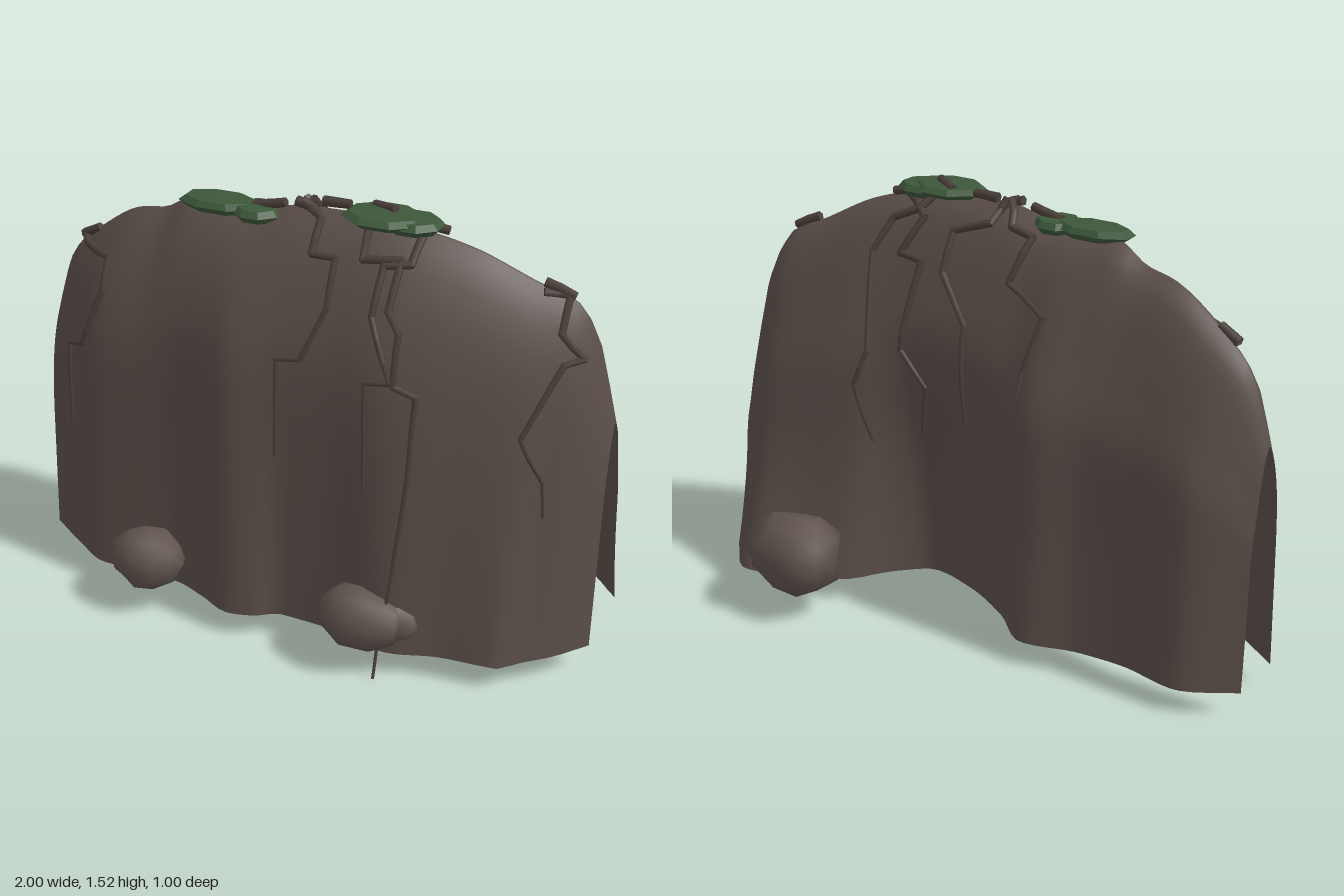
import * as THREE from 'three';
import { mergeVertices, mergeGeometries } from 'three/addons/utils/BufferGeometryUtils.js';

const BASE = 0.085;

// Smooth lookup over [x, value] pairs that never overshoots them
function curveAt(table, x) {
  const last = table.length - 1;
  if (x <= table[0][0]) return table[0][1];
  if (x >= table[last][0]) return table[last][1];
  const slope = i => (table[i + 1][1] - table[i][1]) / (table[i + 1][0] - table[i][0]);
  const tangent = i => {
    if (i === 0) return slope(0);
    if (i === last) return slope(last - 1);
    const a = slope(i - 1), b = slope(i);
    return a * b <= 0 ? 0 : 2 * a * b / (a + b);
  };
  let i = 0;
  while (x > table[i + 1][0]) i++;
  const [x0, a] = table[i], [x1, b] = table[i + 1], d = x1 - x0, t = (x - x0) / d;
  const t2 = t * t, t3 = t2 * t;
  return a * (2 * t3 - 3 * t2 + 1) + tangent(i) * d * (t3 - 2 * t2 + t)
    + b * (3 * t2 - 2 * t3) + tangent(i + 1) * d * (t3 - t2);
}

// Ridge line along x
const ridgeY = [[-1, 0.91], [-0.92, 1.13], [-0.8, 1.24], [-0.62, 1.35], [-0.52, 1.37], [-0.4, 1.43], [-0.2, 1.43],
  [0, 1.47], [0.2, 1.475], [0.4, 1.45], [0.55, 1.41], [0.75, 1.31], [0.86, 1.26], [0.92, 1.17], [1, 0.86]];
const ridgeZ = [[-1, 0], [-0.6, 0.06], [-0.2, 0.11], [0.3, 0.12], [0.55, 0.09], [0.8, 0.03], [1, -0.01]];
// Each face: z at mid height (belly) and at the foot, and how fast it swings out with the drop
const front = {
  belly: [[-1, 0.09], [-0.85, 0.195], [-0.7, 0.275], [-0.42, 0.295], [-0.29, 0.33], [-0.165, 0.37], [0, 0.345],
    [0.165, 0.34], [0.33, 0.35], [0.46, 0.325], [0.6, 0.28], [0.77, 0.225], [0.85, 0.175], [0.91, 0.14], [1, 0.055]],
  foot: [[-1, 0.12], [-0.85, 0.22], [-0.7, 0.3], [-0.42, 0.305], [-0.29, 0.35], [-0.165, 0.405], [-0.075, 0.385],
    [0, 0.34], [0.165, 0.347], [0.4, 0.4], [0.58, 0.353], [0.765, 0.337], [0.82, 0.28], [0.91, 0.2], [1, 0.09]],
  swing: [[0, 0], [0.02, 0.15], [0.06, 0.37], [0.17, 0.72], [0.32, 0.96], [0.45, 1], [1, 1]],
  flare: () => 1,
};
const back = {
  belly: [[-1, -0.08], [-0.8, -0.17], [-0.6, -0.15], [-0.45, -0.15], [-0.25, -0.185], [-0.1, -0.14], [0.1, -0.13],
    [0.25, -0.13], [0.4, -0.135], [0.6, -0.16], [0.82, -0.17], [1, -0.13]],
  foot: [[-1, -0.09], [-0.8, -0.19], [-0.6, -0.16], [-0.45, -0.17], [-0.25, -0.22], [-0.1, -0.11], [0.1, -0.01],
    [0.27, 0.03], [0.4, -0.07], [0.5, -0.21], [0.65, -0.28], [0.85, -0.35], [1, -0.22]],
  swing: [[0, 0], [0.03, 0.22], [0.08, 0.4], [0.21, 0.67], [0.3, 0.82], [0.38, 0.96], [0.44, 1], [1, 1]],
  flare: outward => outward ? 1.7 : 0.65,
};

// Point on the cliff; drop runs from 0 at the ridge to 1 at the foot
function cliffPoint(x, drop, side) {
  const face = side > 0 ? front : back;
  const h = curveAt(ridgeY, x), rz = curveAt(ridgeZ, x);
  const belly = curveAt(face.belly, x), foot = curveAt(face.foot, x);
  const flare = Math.pow(Math.max(0, (drop - 0.32) / 0.68), face.flare((foot - belly) * side > 0));
  const z = rz + (belly - rz) * curveAt(face.swing, drop) + (foot - belly) * flare;
  return new THREE.Vector3(x, h - (h - BASE) * drop, z);
}

// Open sheet folded over the ridge
function cliffGeometry() {
  const g = new THREE.PlaneGeometry(2, 1, 60, 36), p = g.attributes.position;
  for (let i = 0; i < p.count; i++) {
    const v = -2 * p.getY(i);
    const q = cliffPoint(p.getX(i), v * v, v >= 0 ? 1 : -1);
    p.setXYZ(i, q.x, q.y, q.z);
  }
  g.computeVertexNormals();
  return g;
}

// Tapering root made of straight runs that hug the cliff
function rootGeometry(path, side, r0, r1) {
  const pts = [];
  const place = (x, y) => {
    const h = curveAt(ridgeY, x);
    const drop = THREE.MathUtils.clamp((h - y) / (h - BASE), 0, 1);
    const q = cliffPoint(x, drop, side);
    q.y = Math.min(y, h + 0.014);
    q.z += side * ((side > 0 ? 0.008 : 0.02) + Math.max(0, BASE - y) * 0.35);
    return q;
  };
  path.forEach(([x, y], i) => {
    if (i === 0) return pts.push(place(x, y));
    const [px, py] = path[i - 1];
    const n = Math.max(1, Math.ceil(Math.hypot(x - px, y - py) / 0.07));
    for (let k = 1; k <= n; k++) pts.push(place(px + (x - px) * k / n, py + (y - py) * k / n));
  });
  const up = new THREE.Vector3(0, 1, 0), parts = [];
  for (let i = 1; i < pts.length; i++) {
    const dir = pts[i].clone().sub(pts[i - 1]), len = dir.length();
    if (len < 1e-4) continue;
    const ra = r0 + (r1 - r0) * (i - 1) / (pts.length - 1), rb = r0 + (r1 - r0) * i / (pts.length - 1);
    const c = new THREE.CylinderGeometry(rb, ra, len + ra * 0.8, 6);
    c.applyQuaternion(new THREE.Quaternion().setFromUnitVectors(up, dir.normalize()));
    const m = pts[i].clone().add(pts[i - 1]).multiplyScalar(0.5);
    parts.push(c.translate(m.x, m.y, m.z));
  }
  return mergeGeometries(parts);
}

// Lumpy boulder with a flat underside
function boulderGeometry(rx, ry, rz, seed) {
  let g = new THREE.IcosahedronGeometry(1, 1);
  g.deleteAttribute('uv');
  g.deleteAttribute('normal');
  g = mergeVertices(g, 1e-4);
  const p = g.attributes.position;
  for (let i = 0; i < p.count; i++) {
    const x = p.getX(i), y = p.getY(i), z = p.getZ(i);
    const block = Math.pow(Math.abs(x) ** 2.6 + Math.abs(y) ** 2.6 + Math.abs(z) ** 2.6, -1 / 2.6);
    const k = block * (1 + 0.07 * Math.sin(5 * x + seed) + 0.06 * Math.sin(6 * y + 4 * z + seed * 2.3));
    p.setXYZ(i, x * k * rx, Math.max(y * k, -0.85) * ry, z * k * rz);
  }
  g.computeVertexNormals();
  return g;
}

// Faceted low cushion
function cushionGeometry(rx, ry, rz) {
  const profile = [[0, -1], [0.8, -0.8], [1, 0], [0.82, 0.75], [0, 1]].map(([r, y]) => new THREE.Vector2(r, y));
  return new THREE.LatheGeometry(profile, 8).rotateY(Math.PI / 8).scale(rx, ry, rz);
}

export function createModel() {
  const model = new THREE.Group();
  const mat = (name, color, extra = {}) => {
    const m = new THREE.MeshStandardMaterial({ color, ...extra });
    m.name = name;
    return m;
  };
  const rock = mat('rock', 0x5a4e48, { side: THREE.DoubleSide });
  const stone = mat('boulder stone', 0x5f534d);
  const bark = mat('root bark', 0x4a3f39);
  const moss = mat('moss', 0x3d573a, { flatShading: true });
  const add = (name, geometry, material, pos = [0, 0, 0]) => {
    const mesh = new THREE.Mesh(geometry, material);
    mesh.name = name;
    mesh.position.set(...pos);
    model.add(mesh);
  };

  add('cliff', cliffGeometry(), rock);

  // Boulders at the foot: position, radii, seed
  [
    [[-0.49, 0.193, 0.35], [0.13, 0.102, 0.11], 1],
    [[0.315, 0.195, 0.385], [0.145, 0.106, 0.105], 2],
    [[0.42, 0.19, 0.35], [0.08, 0.075, 0.07], 3],
    [[0.59, 0.23, -0.365], [0.155, 0.14, 0.13], 4],
    [[0.72, 0.175, -0.32], [0.085, 0.09, 0.085], 5],
  ].forEach(([pos, r, seed]) => add('boulder', boulderGeometry(...r, seed), stone, pos));

  // Moss cushions on the ridge: position, radii
  [
    [[-0.30, 1.433, 0.115], [0.145, 0.025, 0.075]],
    [[-0.16, 1.428, 0.125], [0.085, 0.026, 0.08]],
    [[0.27, 1.478, 0.13], [0.14, 0.022, 0.105]],
    [[0.36, 1.468, 0.12], [0.1, 0.025, 0.085]],
  ].forEach(([pos, r]) => add('mossCushion', cushionGeometry(...r), moss, pos));

  // Roots as [x, y] paths on the front face
  [
    [[-0.86, 1.22], [-0.83, 1.19], [-0.69, 1.2], [-0.69, 1.1], [-0.77, 0.9], [-0.85, 0.87], [-0.85, 0.57]],
    [[0, 1.49], [0.07, 1.45], [0.07, 1.36], [0.15, 1.36], [0.15, 1.22], [0.08, 1.05], [0, 1.04], [-0.005, 0.7]],
    [[0.4, 1.45], [0.39, 1.37], [0.31, 1.36], [0.3, 1.22], [0.38, 1.03], [0.3, 1.02], [0.31, 0.65]],
    [[0.23, 1.48], [0.24, 1.37], [0.36, 1.38], [0.35, 1.24], [0.39, 1.18], [0.39, 1.02], [0.46, 0.99], [0.45, 0.7],
      [0.41, 0.3], [0.38, 0.1], [0.38, 0]],
    [[0.77, 1.29], [0.84, 1.28], [0.84, 1.18], [0.91, 1.1], [0.86, 1.09], [0.77, 0.87], [0.8, 0.8], [0.84, 0.72],
      [0.85, 0.6]],
  ].forEach(path => add('frontRoot', rootGeometry(path, 1, 0.014, 0.005), bark));

  // Roots on the back face
  [
    [[0.28, 1.5], [0.33, 1.42], [0.42, 1.38], [0.47, 1.27], [0.43, 0.95], [0.47, 0.83], [0.42, 0.62]],
    [[0.42, 1.47], [0.3, 1.4], [0.36, 1.28], [0.27, 1.27], [0.31, 0.97], [0.22, 0.85], [0.26, 0.65]],
    [[0.02, 1.49], [0.04, 1.42], [0.17, 1.38], [0.18, 1.25], [0.06, 1.1], [0.05, 0.76]],
    [[0.0, 1.49], [-0.04, 1.42], [-0.12, 1.4], [-0.08, 1.26], [-0.24, 1.19], [-0.2, 1.02], [-0.2, 0.94]],
  ].forEach(path => add('backRoot', rootGeometry(path, -1, 0.015, 0.006), bark));

  // Thick root ends lying on the ridge: path and face
  [
    [[[-0.17, 1.46], [-0.07, 1.47]], 1],
    [[[-0.02, 1.49], [0.05, 1.46]], 1],
    [[[0.06, 1.49], [0.14, 1.5]], -1],
    [[[0.3, 1.48], [0.46, 1.45]], -1],
    [[[0.77, 1.32], [0.85, 1.28]], 1],
    [[[-0.86, 1.24], [-0.8, 1.24]], 1],
  ].forEach(([path, side]) => add('rootEnd', rootGeometry(path, side, 0.017, 0.015), bark));
  add('rootStub', new THREE.CylinderGeometry(0.014, 0.014, 0.1, 6).rotateZ(1.7).rotateY(-0.5), bark, [0.26, 1.5, 0.1]);

  return model;
}
